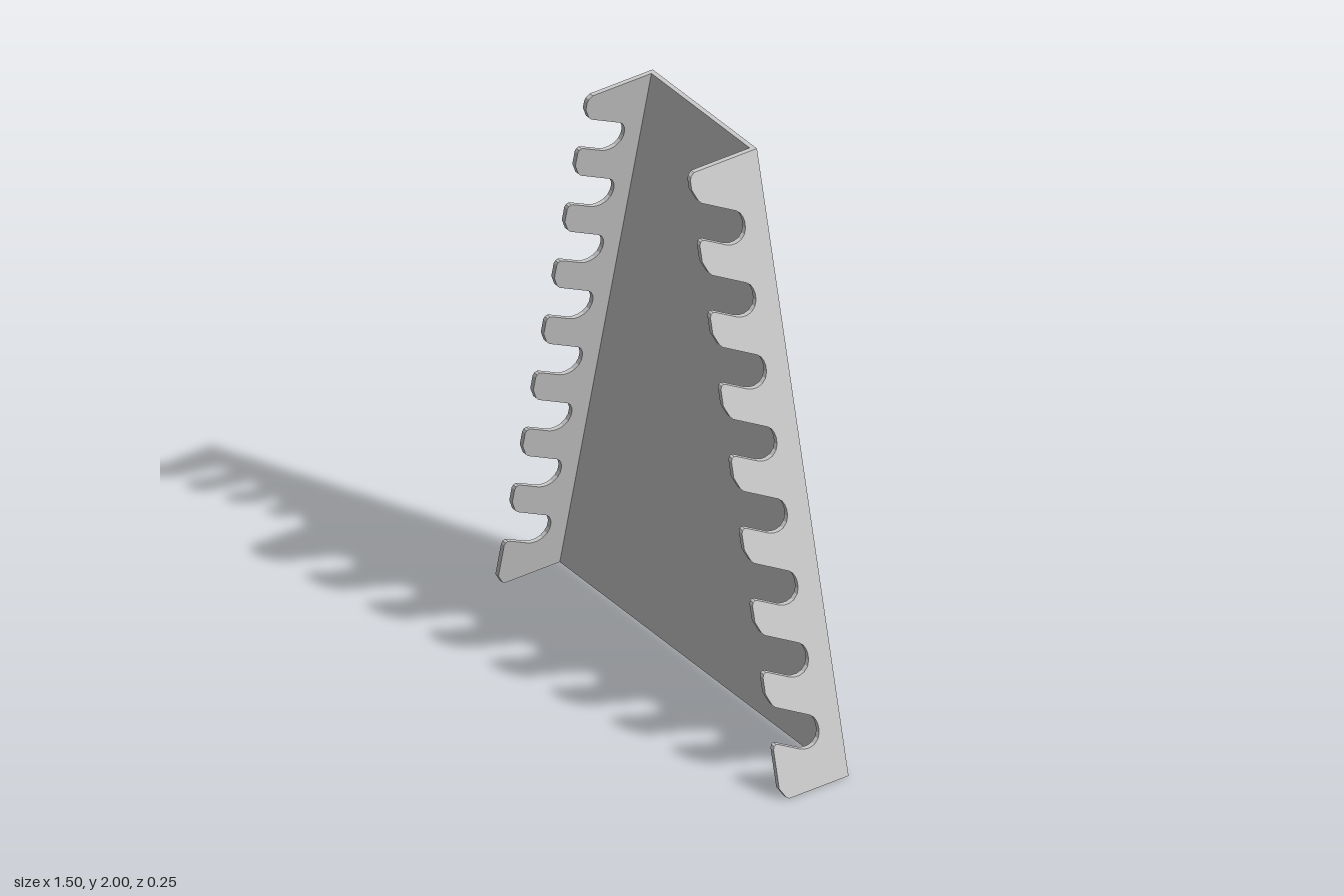
import * as THREE from 'three';

const HEIGHT = 2, THICK = 0.016, FRONT = 0.125, BACK = -0.125;
const SLOTS = 8, PITCH = 0.2296;
// outer half width of the tapering rack at height y
const halfWidth = (y) => 0.75 - 0.239 * y;

// one hook slot as (z, y) points, from the tooth tip below to the tooth above
const SLOT = [
  [0.125, 0.165], [0.121, 0.174], [0.113, 0.178], [0.104, 0.175],
  [0.03, 0.136], [0.014, 0.131], [-0.004, 0.13], [-0.022, 0.135], [-0.037, 0.148],
  [-0.044, 0.165], [-0.045, 0.185], [-0.041, 0.202], [-0.033, 0.217], [-0.021, 0.228],
  [0.097, 0.291], [0.107, 0.302], [0.125, 0.342],
];

// side profile in (z, y) with the row of slots along its front edge
function flangeShape() {
  const pts = [[BACK, 0], [0.095, 0], [0.104, 0.006], [FRONT, 0.04]];
  for (let i = 0; i < SLOTS; i++) {
    for (const [z, y] of SLOT) pts.push([z, y + i * PITCH]);
  }
  pts.push([FRONT, 1.978], [0.121, 1.99], [0.108, HEIGHT], [BACK, HEIGHT]);
  return new THREE.Shape(pts.map(([z, y]) => new THREE.Vector2(z, y)));
}

// slotted flange, sheared to follow the sloping edge of the back plate
function makeFlange(side, material) {
  const geo = new THREE.ExtrudeGeometry(flangeShape(), { depth: THICK, bevelEnabled: false });
  const p = geo.attributes.position;
  for (let i = 0; i < p.count; i++) {
    const z = p.getX(i), y = p.getY(i), d = p.getZ(i);
    p.setXYZ(i, side * halfWidth(y) - d + (side < 0 ? THICK : 0), y, z);
  }
  geo.computeVertexNormals();
  const mesh = new THREE.Mesh(geo, material);
  mesh.name = side > 0 ? 'leftSlottedFlange' : 'rightSlottedFlange';
  return mesh;
}

// trapezoid plate between the two flanges
function makeBackPlate(material) {
  const b = halfWidth(0) - THICK, t = halfWidth(HEIGHT) - THICK;
  const shape = new THREE.Shape([
    new THREE.Vector2(-b, 0), new THREE.Vector2(b, 0),
    new THREE.Vector2(t, HEIGHT), new THREE.Vector2(-t, HEIGHT),
  ]);
  const geo = new THREE.ExtrudeGeometry(shape, { depth: THICK, bevelEnabled: false });
  geo.translate(0, 0, BACK);
  const mesh = new THREE.Mesh(geo, material);
  mesh.name = 'backPlate';
  return mesh;
}

export function createModel() {
  const group = new THREE.Group();
  group.name = 'slottedToolRack';
  const material = new THREE.MeshStandardMaterial({ color: 0xcccccc });
  group.add(makeBackPlate(material), makeFlange(1, material), makeFlange(-1, material));
  return group;
}
